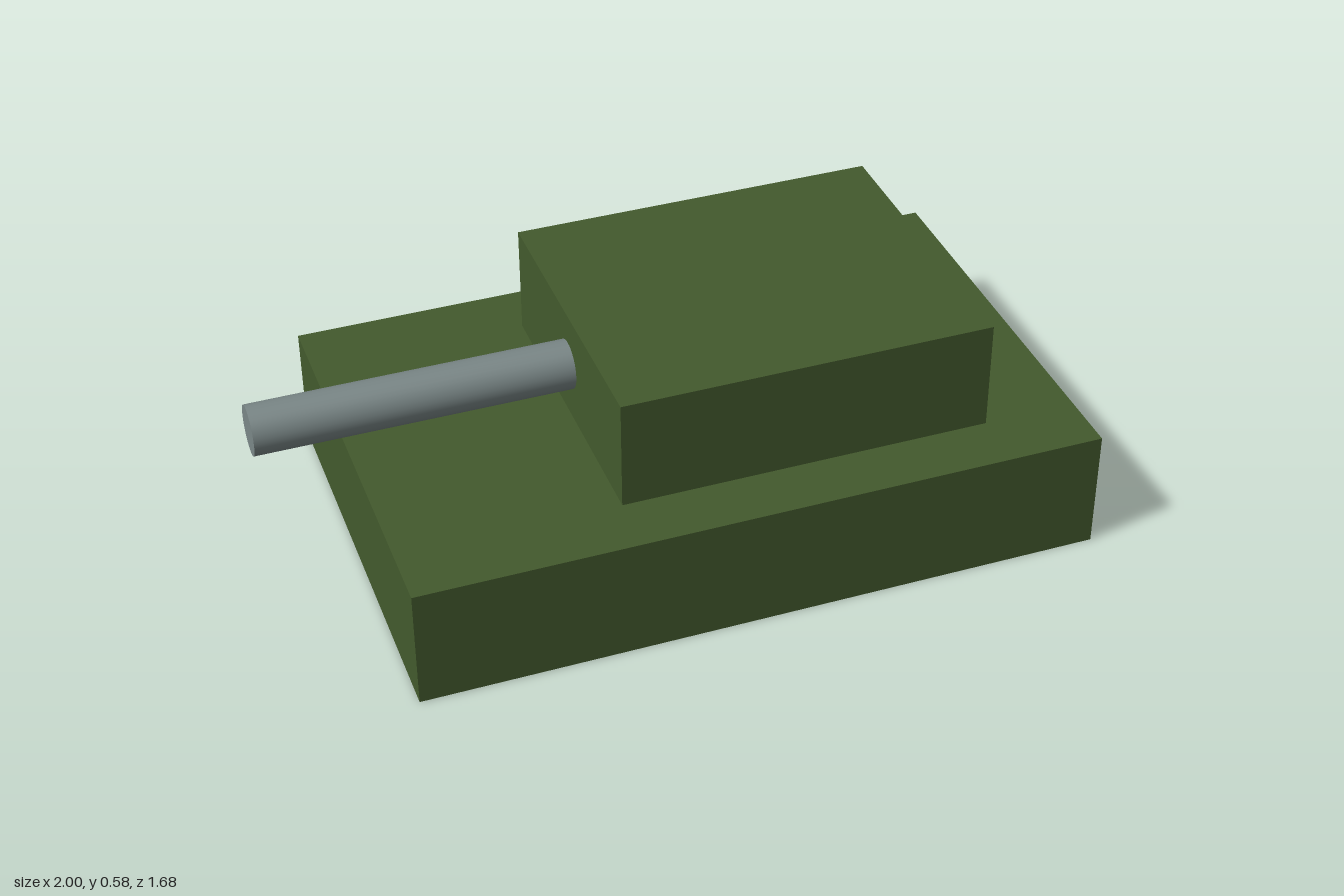
import * as THREE from 'three';

export function createModel() {
  const model = new THREE.Group();
  model.name = 'tank';

  const green = new THREE.MeshStandardMaterial({ color: 0x435a2d });
  const steel = new THREE.MeshStandardMaterial({ color: 0x7a8787 });

  // The whole vehicle is turned on the ground; its barrel points along local -x.
  const body = new THREE.Group();
  body.name = 'vehicle';
  body.position.set(0.005, 0, -0.002);
  body.rotation.y = 0.424;
  model.add(body);

  function add(name, geometry, material, x, y) {
    const mesh = new THREE.Mesh(geometry, material);
    mesh.name = name;
    mesh.position.set(x, y, 0);
    body.add(mesh);
    return mesh;
  }

  // Flat hull with the turret block set towards the rear
  add('hull', new THREE.BoxGeometry(1.69, 0.307, 1.075), green, 0, 0.1535);
  add('turret', new THREE.BoxGeometry(0.918, 0.278, 0.774), green, 0.154, 0.446);

  // Gun barrel, from the turret face out past the hull
  const barrel = add('barrel', new THREE.CylinderGeometry(0.061, 0.061, 0.77, 32), steel, -0.69, 0.447);
  barrel.rotation.z = Math.PI / 2;

  return model;
}
